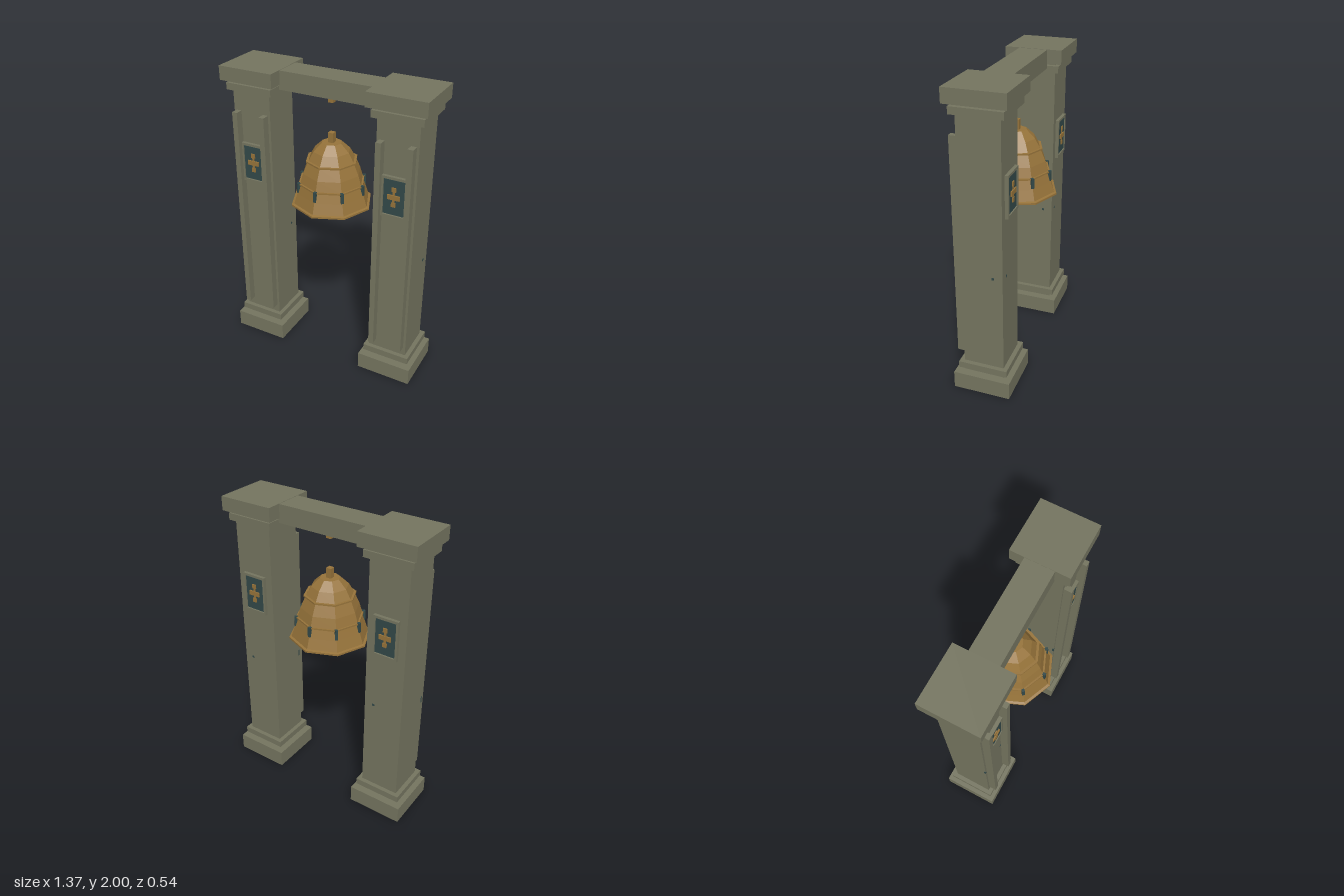
import * as THREE from 'three';

export function createModel() {
  const stone = new THREE.MeshStandardMaterial({ color: 0x74745f });
  const bronze = new THREE.MeshStandardMaterial({ color: 0x96733a, side: THREE.DoubleSide });
  const patina = new THREE.MeshStandardMaterial({ color: 0x324848 });
  stone.name = 'stone';
  bronze.name = 'bronze';
  patina.name = 'patina';

  const model = new THREE.Group();
  model.name = 'bellGate';

  // Box given by size in x and z, bottom and top heights, and centre in x and z
  function box(parent, name, material, w, d, y0, y1, x = 0, z = 0) {
    const mesh = new THREE.Mesh(new THREE.BoxGeometry(w, y1 - y0, d), material);
    mesh.position.set(x, (y0 + y1) / 2, z);
    mesh.name = name;
    parent.add(mesh);
    return mesh;
  }

  // Framed plaque with a bronze emblem, facing +z from the pillar surface
  function plaque() {
    const g = new THREE.Group();
    g.name = 'plaque';
    box(g, 'plaqueBack', stone, 0.17, 0.012, 1.23, 1.5, 0, 0.137);
    box(g, 'plaquePanel', patina, 0.136, 0.008, 1.25, 1.48, 0, 0.146);
    for (const s of [-1, 1]) {
      box(g, 'frameSide', stone, 0.014, 0.024, 1.23, 1.5, s * 0.078, 0.143);
      box(g, 'frameRail', stone, 0.15, 0.024, 1.365 + s * 0.127 - 0.008, 1.365 + s * 0.127 + 0.008, 0, 0.143);
      box(g, 'emblemStud', bronze, 0.028, 0.008, 1.37 + s * 0.05 - 0.014, 1.37 + s * 0.05 + 0.014, 0, 0.153);
    }
    box(g, 'emblemStem', bronze, 0.014, 0.006, 1.33, 1.41, 0, 0.152);
    box(g, 'emblemBar', bronze, 0.08, 0.01, 1.354, 1.384, 0, 0.154);
    return g;
  }

  // Two identical pillars
  for (const side of [-1, 1]) {
    const p = new THREE.Group();
    p.name = side < 0 ? 'rightPillar' : 'leftPillar';
    p.position.x = side * 0.496;
    box(p, 'base', stone, 0.376, 0.376, 0, 0.117);
    box(p, 'lowerMoulding', stone, 0.324, 0.324, 0.146, 0.19);
    box(p, 'shaft', stone, 0.266, 0.266, 0.11, 1.915);
    box(p, 'upperMoulding', stone, 0.324, 0.324, 1.845, 1.89);
    box(p, 'cap', stone, 0.376, 0.376, 1.909, 2);
    for (const s of [-1, 1]) {
      box(p, 'frontStrip', stone, 0.036, 0.052, 0.25, 1.71, s * 0.099, 0.159);
    }
    const front = plaque();
    const back = plaque();
    back.rotation.y = Math.PI;
    p.add(front, back);
    // Small chips in the stone
    box(p, 'cornerChip', patina, 0.008, 0.012, 0.79, 0.835, -0.13, 0.128);
    box(p, 'frontChip', patina, 0.015, 0.004, 0.835, 0.85, 0.07, 0.133);
    box(p, 'backChip', patina, 0.015, 0.004, 0.835, 0.85, 0.07, -0.133);
    box(p, 'sideChip', patina, 0.004, 0.015, 0.835, 0.85, 0.133, -0.07);
    model.add(p);
  }

  // Lintel and the hook stub beneath it
  box(model, 'lintel', stone, 0.63, 0.186, 1.878, 1.998);
  box(model, 'hangerStub', bronze, 0.034, 0.034, 1.825, 1.88);

  // Eight-sided hollow bell with its rim and two raised bands
  const bell = new THREE.Group();
  bell.name = 'bell';
  const profile = [
    [0.235, 1.165], [0.24, 1.15], [0.268, 1.15], [0.268, 1.162], [0.252, 1.166],
    [0.23, 1.235], [0.212, 1.296], [0.221, 1.296], [0.221, 1.306], [0.209, 1.306],
    [0.19, 1.37], [0.158, 1.444], [0.169, 1.444], [0.169, 1.454], [0.153, 1.454],
    [0.12, 1.512], [0.065, 1.565], [0, 1.565],
  ].map(([r, y]) => new THREE.Vector2(r, y));
  const outer = new THREE.LatheGeometry(profile, 8).toNonIndexed();
  outer.computeVertexNormals();
  const body = new THREE.Mesh(outer, bronze);
  body.name = 'bellBody';
  bell.add(body);
  box(bell, 'crownStub', bronze, 0.036, 0.036, 1.56, 1.63);
  box(bell, 'clapper', patina, 0.044, 0.044, 1.1, 1.4);

  // Clips over the lower band, one on each corner
  for (let i = 0; i < 8; i++) {
    const a = (i * Math.PI) / 4;
    const clip = box(bell, 'clip', patina, 0.018, 0.02, 1.243, 1.31, Math.sin(a) * 0.22, Math.cos(a) * 0.22);
    clip.rotation.y = a;
  }
  model.add(bell);
  return model;
}
